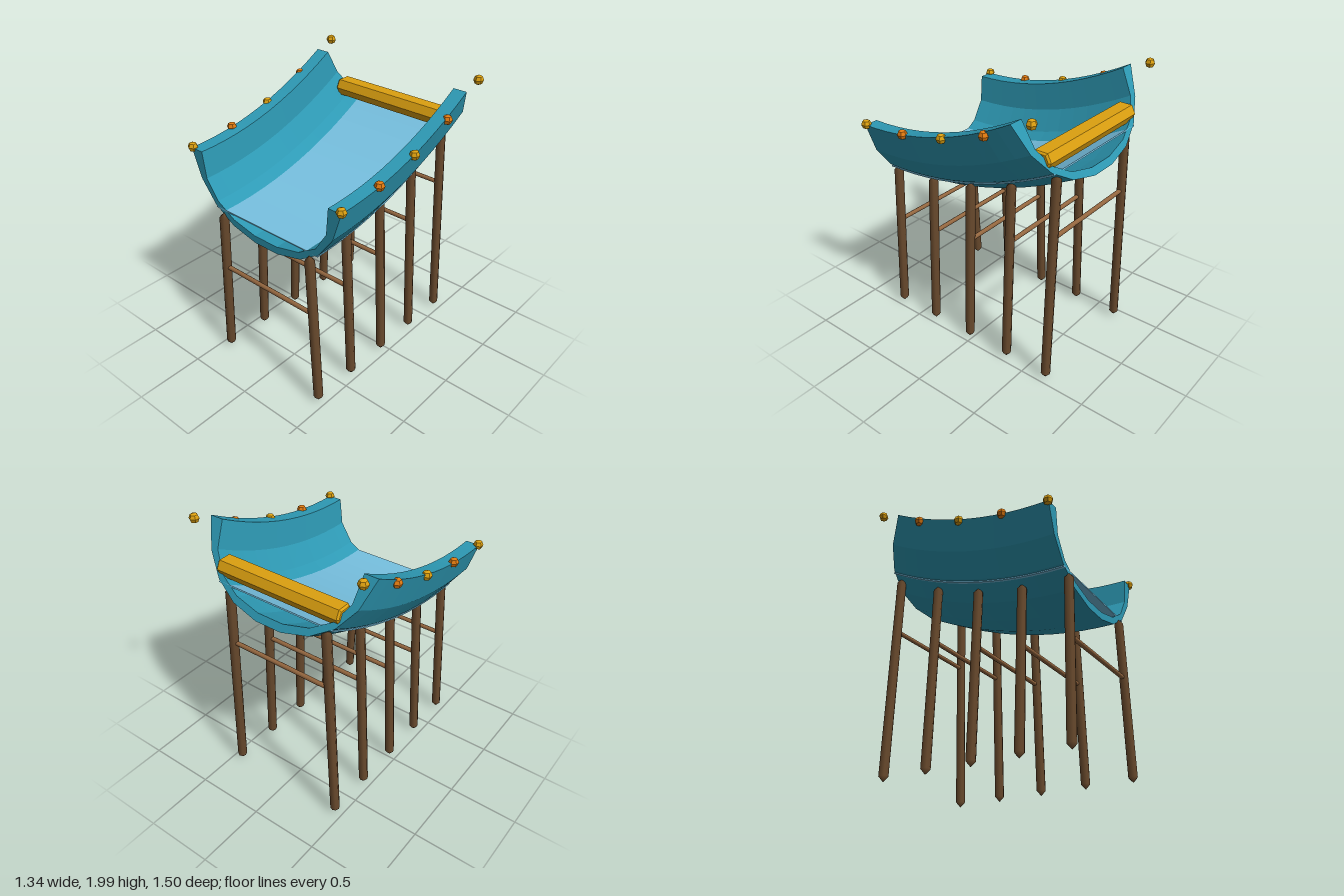
import * as THREE from 'three';

const material = (name, color) => Object.assign(new THREE.MeshStandardMaterial({ color }), { name });

// Height gained by the slide after travelling s from its front end
const rise = (s) => 0.2 * s * s;
const FRONT = 0.72, LENGTH = 1.38;

function faceted(geometry) {
  const g = geometry.index ? geometry.toNonIndexed() : geometry;
  g.computeVertexNormals();
  return g;
}

// Sweeps a closed profile [x, up] along the slide. Its first half is the
// underside from -x to +x, its second half the upper side back again.
function sweep(profile, steps) {
  const n = profile.length, pos = [], index = [];
  for (let j = 0; j <= steps; j++) {
    const s = LENGTH * j / steps, tilt = 0.02 + 0.321 * s;
    for (const [x, up] of profile) {
      pos.push(x, 1.255 + rise(s) + up * Math.cos(tilt), FRONT - s + up * Math.sin(tilt));
    }
  }
  for (let j = 0; j < steps; j++) {
    for (let i = 0; i < n; i++) {
      const a = j * n + i, b = j * n + (i + 1) % n, c = b + n, d = a + n;
      index.push(a, c, b, a, d, c);
    }
  }
  const last = steps * n;
  for (let i = 0; i < n / 2 - 1; i++) {
    const a = i, b = i + 1, c = n - 2 - i, d = n - 1 - i;
    index.push(a, b, c, a, c, d);
    index.push(last + a, last + c, last + b, last + a, last + d, last + c);
  }
  const g = new THREE.BufferGeometry();
  g.setAttribute('position', new THREE.Float32BufferAttribute(pos, 3));
  g.setIndex(index);
  return faceted(g);
}

// Mirrors half a U shape, given from rim to bottom, into a full one
const mirrorU = (half) => [
  ...half.map(([x, y]) => [-x, y]),
  ...half.slice().reverse(),
];

export function createModel() {
  const model = new THREE.Group();
  model.name = 'slide';
  const teal = material('teal', 0x2e9ab5);
  const waterBlue = material('waterBlue', 0x78c2e2);
  const gold = material('gold', 0xdca010);
  const orange = material('orange', 0xe07a10);
  const darkWood = material('darkWood', 0x694a2d);
  const lightWood = material('lightWood', 0x966840);

  const add = (name, geometry, mat, x = 0, y = 0, z = 0) => {
    const mesh = new THREE.Mesh(geometry, mat);
    mesh.name = name;
    mesh.position.set(x, y, z);
    model.add(mesh);
    return mesh;
  };

  // Curved trough with thick walls
  const outer = mirrorU([[0.645, 0.325], [0.575, 0.115], [0.46, -0.04], [0.3, -0.145], [0.1, -0.195]]);
  const inner = mirrorU([[0.545, 0.325], [0.525, 0.135], [0.435, -0.005], [0.29, -0.095], [0.1, -0.14]]);
  add('trough', sweep([...outer, ...inner.reverse()], 12), teal);

  // Thin sheet of water whose edges just reach through the walls
  add('water', sweep([[-0.453, -0.059], [0.453, -0.059], [0.453, -0.05], [-0.453, -0.05]], 12), waterBlue);

  // Six-sided grab bar with bevelled ends
  const bevel = 0.012;
  const hex = new THREE.Shape([
    [0.06, 0], [0.038, 0.045], [-0.038, 0.045], [-0.06, 0], [-0.038, -0.045], [0.038, -0.045],
  ].map(([x, y]) => new THREE.Vector2(x, y)));
  const barGeometry = new THREE.ExtrudeGeometry(hex, {
    depth: 0.936, bevelEnabled: true, bevelSize: bevel, bevelThickness: bevel, bevelSegments: 1,
  });
  barGeometry.translate(0, 0, -0.468);
  barGeometry.rotateY(Math.PI / 2);
  add('grabBar', faceted(barGeometry), gold, 0, 1.664, -0.603);

  // Five frames of leaning posts and a rung, with a lamp on each rim
  const lampGeometry = faceted(new THREE.SphereGeometry(0.035, 6, 4).rotateY(Math.PI / 2));
  const rungGeometry = new THREE.CylinderGeometry(0.016, 0.016, 0.8, 8).rotateZ(Math.PI / 2);
  const radius = 0.033, tip = 0.037;
  for (let i = 0; i < 5; i++) {
    const s = LENGTH * i / 4, z = FRONT - s;
    for (const side of [-1, 1]) {
      const foot = new THREE.Vector3(side * 0.44, 0.008, z);
      const head = new THREE.Vector3(side * 0.385, 1.18 + rise(s), z);
      const along = head.clone().sub(foot), length = along.length();
      const profile = [[0, 0], [radius, tip], [radius, length - tip], [0, length]];
      const postGeometry = new THREE.LatheGeometry(profile.map(([x, y]) => new THREE.Vector2(x, y)), 8);
      const post = add('post', postGeometry, darkWood, foot.x, foot.y, foot.z);
      post.quaternion.setFromUnitVectors(new THREE.Vector3(0, 1, 0), along.normalize());

      add('rimLamp', lampGeometry, i % 2 ? orange : gold, side * 0.64, 1.585 + rise(s), z);
    }
    add('rung', rungGeometry, lightWood, 0, 0.735 + rise(s), z);
  }
  return model;
}
